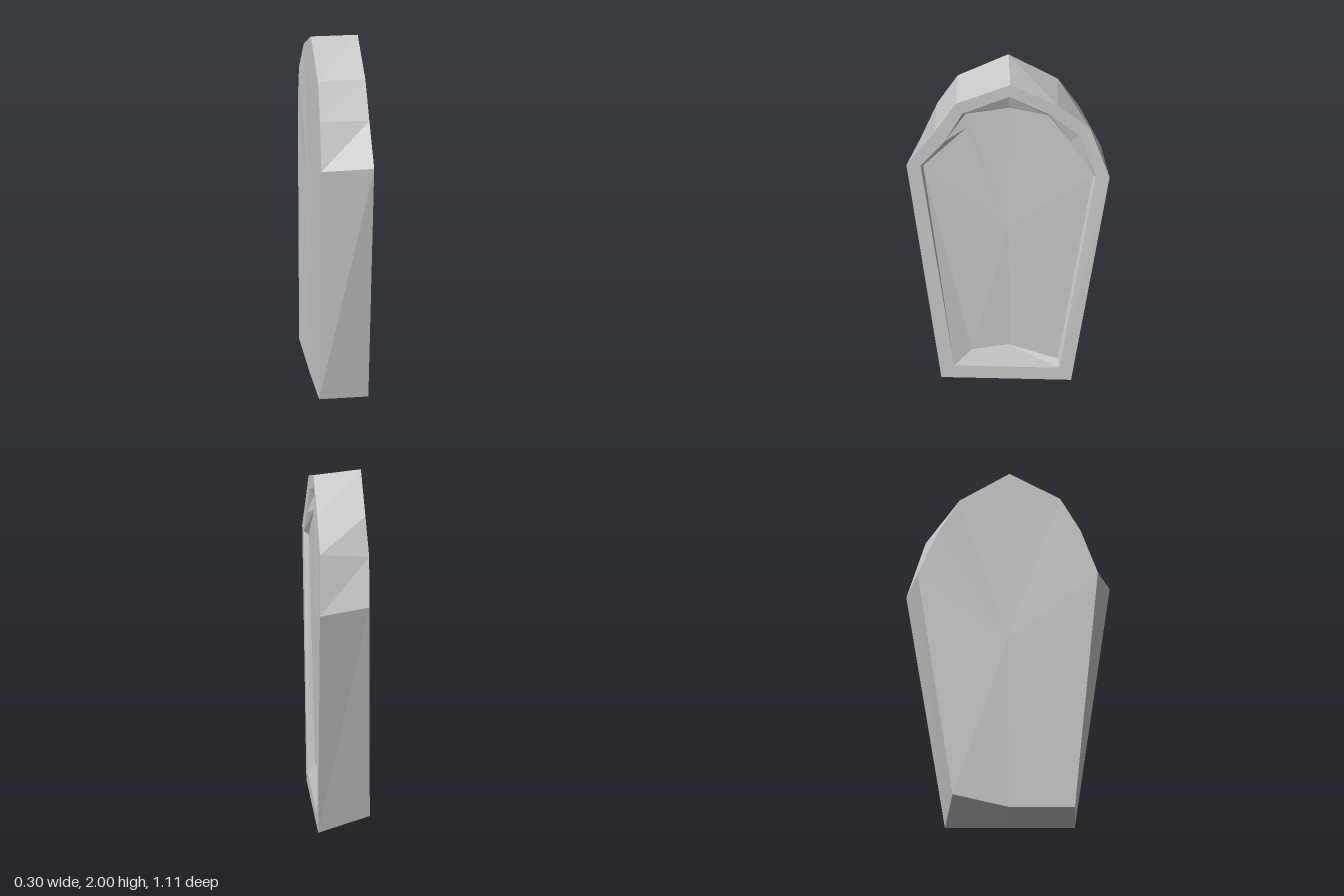
import * as THREE from 'three';

// Each loop runs from the peak over the +z shoulder, along the foot and up the -z side.
const backLoop = [
  [-0.13, 2.0, 0.01], [-0.13, 1.85, 0.285], [-0.135, 1.66, 0.395], [-0.14, 1.405, 0.49],
  [-0.135, 0, 0.365], [-0.135, 0, 0.01], [-0.15, 0.07, -0.3],
  [-0.13, 1.4, -0.49], [-0.14, 1.65, -0.375], [-0.13, 1.84, -0.26],
];
const frontLoop = [
  [0.13, 1.985, -0.01], [0.13, 1.85, 0.285], [0.135, 1.655, 0.405], [0.14, 1.435, 0.555],
  [0.135, 0, 0.365], [0.135, 0, 0.01], [0.135, 0, -0.34],
  [0.145, 1.385, -0.55], [0.135, 1.705, -0.445], [0.135, 1.855, -0.27],
];
const lipLoop = [
  [0.13, 1.905, -0.005], [0.13, 1.785, 0.25], [0.135, 1.6, 0.345], [0.138, 1.43, 0.478],
  [0.135, 0.08, 0.295], [0.135, 0.08, 0.0], [0.135, 0.08, -0.275],
  [0.14, 1.385, -0.475], [0.135, 1.66, -0.385], [0.13, 1.785, -0.23],
];
const floorLoop = [
  [0.095, 1.805, 0], [0.1, 1.762, 0.235], [0.105, 1.67, 0.23], [0.112, 1.415, 0.465],
  [0.103, 0.17, 0.2], [0.09, 0.2, 0], [0.105, 0.12, -0.265],
  [0.114, 1.375, -0.46], [0.105, 1.59, -0.335], [0.1, 1.765, -0.215],
];

const material = new THREE.MeshStandardMaterial({ color: 0xcccccc, flatShading: true });

function makeMesh(name, corners) {
  const geometry = new THREE.BufferGeometry();
  geometry.setAttribute('position', new THREE.Float32BufferAttribute(corners.flat(), 3));
  geometry.computeVertexNormals();
  const mesh = new THREE.Mesh(geometry, material);
  mesh.name = name;
  return mesh;
}

// Strip of quads joining two loops
function band(name, a, b) {
  const corners = [];
  a.forEach((p, i) => {
    const j = (i + 1) % a.length;
    corners.push(p, a[j], b[i], a[j], b[j], b[i]);
  });
  return makeMesh(name, corners);
}

// Fan closing a loop around its middle
function cap(name, loop, x, flip) {
  const corners = [];
  const middle = [x, 1, 0];
  loop.forEach((p, i) => {
    const q = loop[(i + 1) % loop.length];
    corners.push(middle, ...(flip ? [q, p] : [p, q]));
  });
  return makeMesh(name, corners);
}

export function createModel() {
  const group = new THREE.Group();
  group.name = 'coffin';
  group.add(
    cap('backPanel', backLoop, -0.137, true),
    band('outerSides', backLoop, frontLoop),
    band('rim', frontLoop, lipLoop),
    band('recessWalls', lipLoop, floorLoop),
    cap('recessFloor', floorLoop, 0.105, false),
  );
  return group;
}
